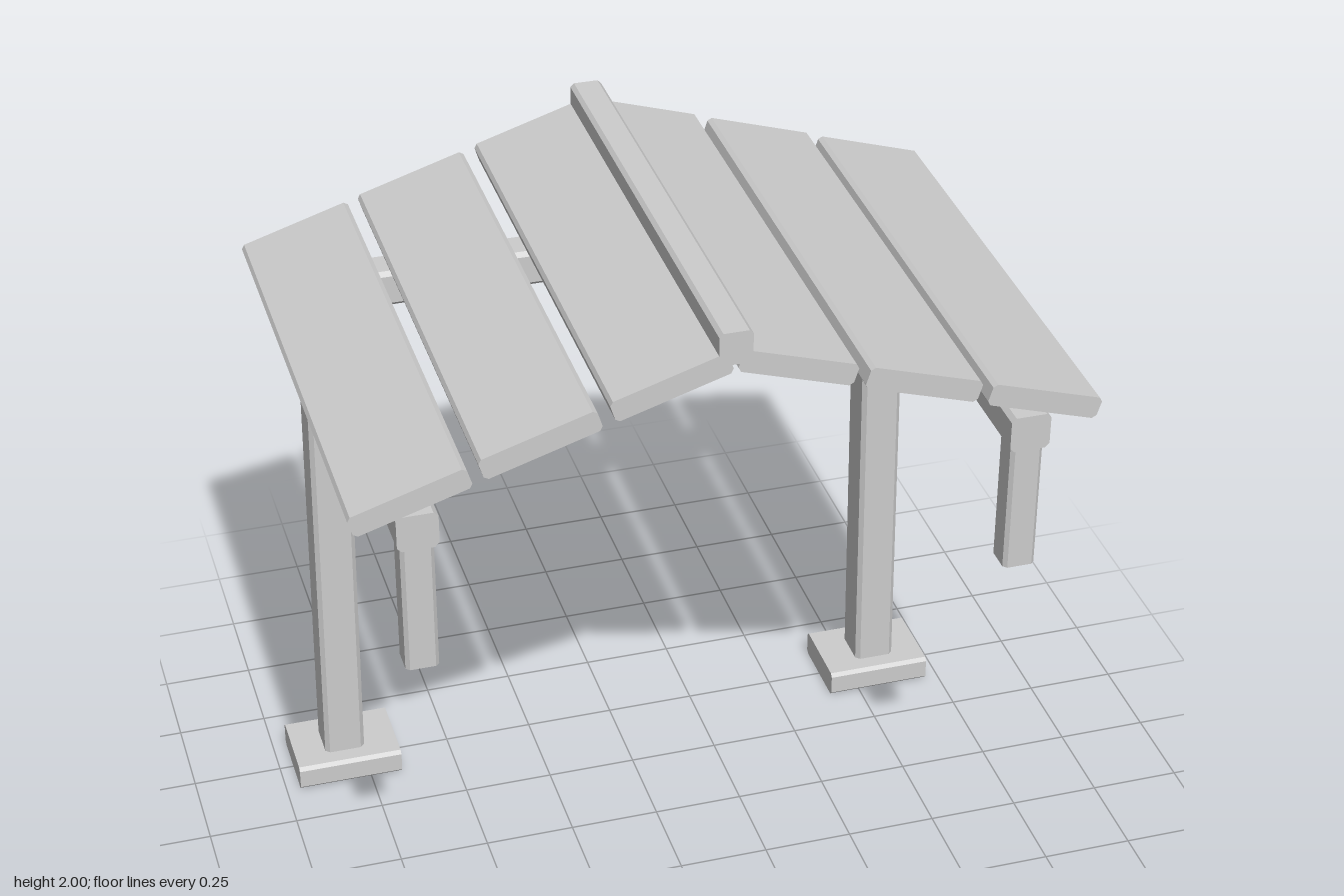
import * as THREE from 'three';

const stone = new THREE.MeshStandardMaterial({ color: 0xcccccc });
stone.name = 'light grey';

// Bar with chamfered long edges, centred, running along z: w wide, h high.
function bar(w, h, length, c = 0.01) {
  const x = w / 2, y = h / 2;
  const pts = [
    [x - c, -y], [x, -y + c], [x, y - c], [x - c, y],
    [-x + c, y], [-x, y - c], [-x, -y + c], [-x + c, -y],
  ];
  const shape = new THREE.Shape(pts.map(([a, b]) => new THREE.Vector2(a, b)));
  return new THREE.ExtrudeGeometry(shape, { depth: length, bevelEnabled: false })
    .translate(0, 0, -length / 2);
}

const alongX = (g) => g.rotateY(Math.PI / 2);
const alongY = (g) => g.rotateX(-Math.PI / 2);

export function createModel() {
  const group = new THREE.Group();

  function add(name, geometry, x, y, z, tilt = 0) {
    const mesh = new THREE.Mesh(geometry, stone);
    mesh.name = name;
    mesh.position.set(x, y, z);
    mesh.rotation.z = tilt;
    group.add(mesh);
  }

  for (const [side, s] of [['left', 1], ['right', -1]]) {
    // Foot block and slightly leaning rear post
    add(side + 'Foot', alongX(bar(0.23, 0.075, 0.3)), s * 0.81, 0.0375, -0.5);
    add(side + 'Post', alongY(bar(0.115, 0.122, 1.51, 0.012)), s * 0.804, 0.825, -0.5, s * 0.013);

    // Side beam and short hanging post at the front
    add(side + 'Beam', bar(0.106, 0.1, 1.18, 0.012), s * 0.79, 1.555, 0.065);
    add(side + 'HangingPost', alongY(bar(0.086, 0.084, 0.39)), s * 0.79, 1.335, 0.601);

    // Three sloping roof boards
    for (const [i, [x, y]] of [[0.16, 1.872], [0.487, 1.767], [0.811, 1.662]].entries()) {
      add(side + 'RoofBoard' + (i + 1), bar(0.31, 0.06, 1.365), s * x, y, 0, -s * 0.302);
    }
  }

  // Rear cross beam and ridge cap
  add('crossBeam', alongX(bar(0.106, 0.105, 1.86, 0.012)), 0, 1.556, -0.545);
  add('ridgeCap', bar(0.086, 0.09, 1.365), 0, 1.955, 0);

  return group;
}
